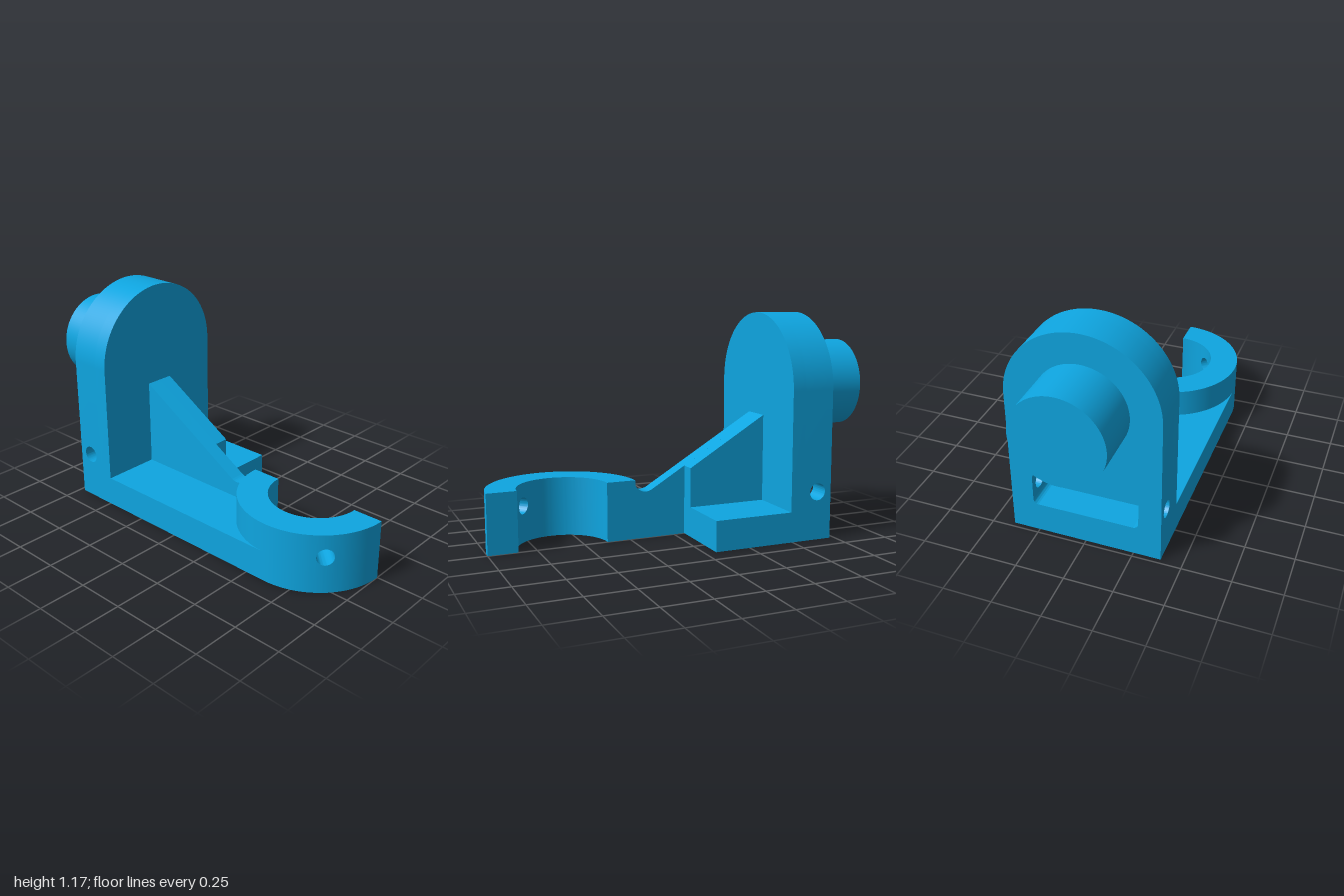
import * as THREE from 'three';
import { toCreasedNormals } from 'three/addons/utils/BufferGeometryUtils.js';

const W = 0.39;          // half width, also the outer radius of clamp and arch
const RI = 0.235;        // clamp bore and boss radius
const CZ = 0.61;         // clamp centre
const H = 0.314;         // clamp height
const FLOOR = 0.16;      // base plate thickness
const BACK = -0.725, FRONT = -0.49, POCKET = -0.565;
const AXIS_Y = 0.785;    // boss and arch centre
const SLOT_X = 0.275, SLOT_LOW = 0.16, SLOT_TOP = 0.346;

const material = new THREE.MeshStandardMaterial({ color: 0x0ea5e0 });

function extrude(shape, depth) {
  return new THREE.ExtrudeGeometry(shape, { depth, bevelEnabled: false, curveSegments: 48 });
}

function polygon(points) {
  return new THREE.Shape(points.map(([x, y]) => new THREE.Vector2(x, y)));
}

// Profile in (x, y), from z0 to z1
const alongZ = (shape, z0, z1) => extrude(shape, z1 - z0).translate(0, 0, z0);
// Profile in (z, y), from x0 to x1
const alongX = (shape, x0, x1) => extrude(shape, x1 - x0).rotateY(-Math.PI / 2).translate(x1, 0, 0);
// Plan in (x, z), from the ground up to a height
const alongY = (shape, height) => extrude(shape, height).rotateX(Math.PI / 2).translate(0, height, 0);

// Round-topped plate outline
function arch(bottom) {
  const s = new THREE.Shape();
  s.moveTo(-W, bottom);
  s.lineTo(W, bottom);
  s.lineTo(W, AXIS_Y);
  s.absarc(0, AXIS_Y, W, 0, Math.PI, false);
  s.closePath();
  return s;
}

// Half ring swept in columns that open around a radial screw hole
function clampGeometry() {
  const holeY = 0.195, r = 0.044, mid = Math.PI / 4;
  const columns = [];
  const edge = Math.asin(r / RI);
  const plain = (a, b, n) => {
    for (let i = 0; i <= n; i++) {
      const t = a + (b - a) * i / n;
      columns.push({ outer: t, inner: t, h: 0 });
    }
  };
  plain(0, mid - edge - 0.02, 14);
  for (let k = 0; k <= 24; k++) {
    const u = -r * Math.cos(Math.PI * k / 24);
    columns.push({
      outer: mid + Math.asin(u / W),
      inner: mid + Math.asin(u / RI),
      h: k % 24 ? Math.sqrt(r * r - u * u) : 0,
    });
  }
  plain(mid + edge + 0.02, Math.PI, 56);

  const position = [];
  const quad = (a, b, c, d) => position.push(...a, ...b, ...c, ...a, ...c, ...d);
  const point = (radius, t, y) => [-radius * Math.sin(t), y, CZ + radius * Math.cos(t)];
  const section = (c, low, high) => [
    point(W, c.outer, low), point(W, c.outer, high),
    point(RI, c.inner, high), point(RI, c.inner, low),
  ];
  const bands = [c => section(c, 0, holeY - c.h), c => section(c, holeY + c.h, H)];
  for (const band of bands) {
    const loops = columns.map(band);
    for (let i = 0; i + 1 < loops.length; i++) {
      const p = loops[i], q = loops[i + 1];
      for (let k = 0; k < 4; k++) {
        const n = (k + 1) % 4;
        quad(p[k], p[n], q[n], q[k]);
      }
    }
    const [a, b, c, d] = loops[0];
    quad(d, c, b, a);
    quad(...loops[loops.length - 1]);
  }
  const g = new THREE.BufferGeometry();
  g.setAttribute('position', new THREE.Float32BufferAttribute(position, 3));
  return g;
}

export function createModel() {
  const model = new THREE.Group();
  model.name = 'clampBracket';
  const add = (name, geometry, parent = model) => {
    const mesh = new THREE.Mesh(toCreasedNormals(geometry, 0.5), material);
    mesh.name = name;
    parent.add(mesh);
  };

  // Half-ring clamp
  add('clampHalfRing', clampGeometry());

  // Stepped base plate, ending against the clamp
  const base = new THREE.Shape();
  base.moveTo(-W, FRONT);
  base.lineTo(W, FRONT);
  base.lineTo(W, -0.06);
  base.lineTo(0, -0.06);
  base.lineTo(0, CZ - W);
  base.absarc(0, CZ, W, -Math.PI / 2, -Math.PI, true);
  base.closePath();
  add('basePlate', alongY(base, FLOOR));

  // Sloped rib: long half with a round relief notch, short half beside it
  const rib = new THREE.Shape();
  rib.moveTo(FRONT, FLOOR);
  rib.lineTo(0.226, FLOOR);
  rib.lineTo(0.226, H);
  rib.absarc(0.16, H, 0.065, 0, -2.11, true);
  rib.lineTo(FRONT, 0.628);
  rib.closePath();
  add('ribLongHalf', alongX(rib, -0.08, 0));
  add('ribShortHalf', alongX(polygon([
    [FRONT, FLOOR], [-0.06, FLOOR], [-0.06, 0.37], [FRONT, 0.628],
  ]), 0, 0.08));

  // Upright plate: solid front layer, back layer built around the slot
  const upright = new THREE.Group();
  upright.name = 'uprightPlate';
  model.add(upright);
  add('uprightFront', alongZ(arch(0), POCKET, FRONT), upright);
  add('uprightBackTop', alongZ(arch(SLOT_TOP), BACK, POCKET), upright);
  add('uprightBackFoot', alongZ(polygon([
    [-W, 0], [W, 0], [W, SLOT_LOW], [-W, SLOT_LOW],
  ]), BACK, POCKET), upright);

  // Slot side walls with cross holes, and rounded slot corners
  const wall = polygon([
    [BACK, SLOT_LOW], [POCKET, SLOT_LOW], [POCKET, SLOT_TOP], [BACK, SLOT_TOP],
  ]);
  wall.holes.push(new THREE.Path().absarc(-0.645, 0.255, 0.045, 0, Math.PI * 2, true));
  const f = 0.025;
  for (const side of [-1, 1]) {
    const x0 = side > 0 ? SLOT_X : -W;
    add('slotSideWall', alongX(wall, x0, x0 + W - SLOT_X), upright);
    for (const end of [-1, 1]) {
      const x = side * SLOT_X, y = end > 0 ? SLOT_TOP : SLOT_LOW;
      const fillet = new THREE.Shape();
      fillet.moveTo(x, y);
      fillet.lineTo(x - side * f, y);
      fillet.quadraticCurveTo(x - side * f * 0.17, y - end * f * 0.17, x, y - end * f);
      fillet.closePath();
      add('slotCorner', alongZ(fillet, BACK, POCKET), upright);
    }
  }

  // Round boss on the back
  const length = BACK + 1;
  add('rearBoss', new THREE.CylinderGeometry(RI, RI, length, 96)
    .rotateX(Math.PI / 2).translate(0, AXIS_Y, BACK - length / 2));

  return model;
}
